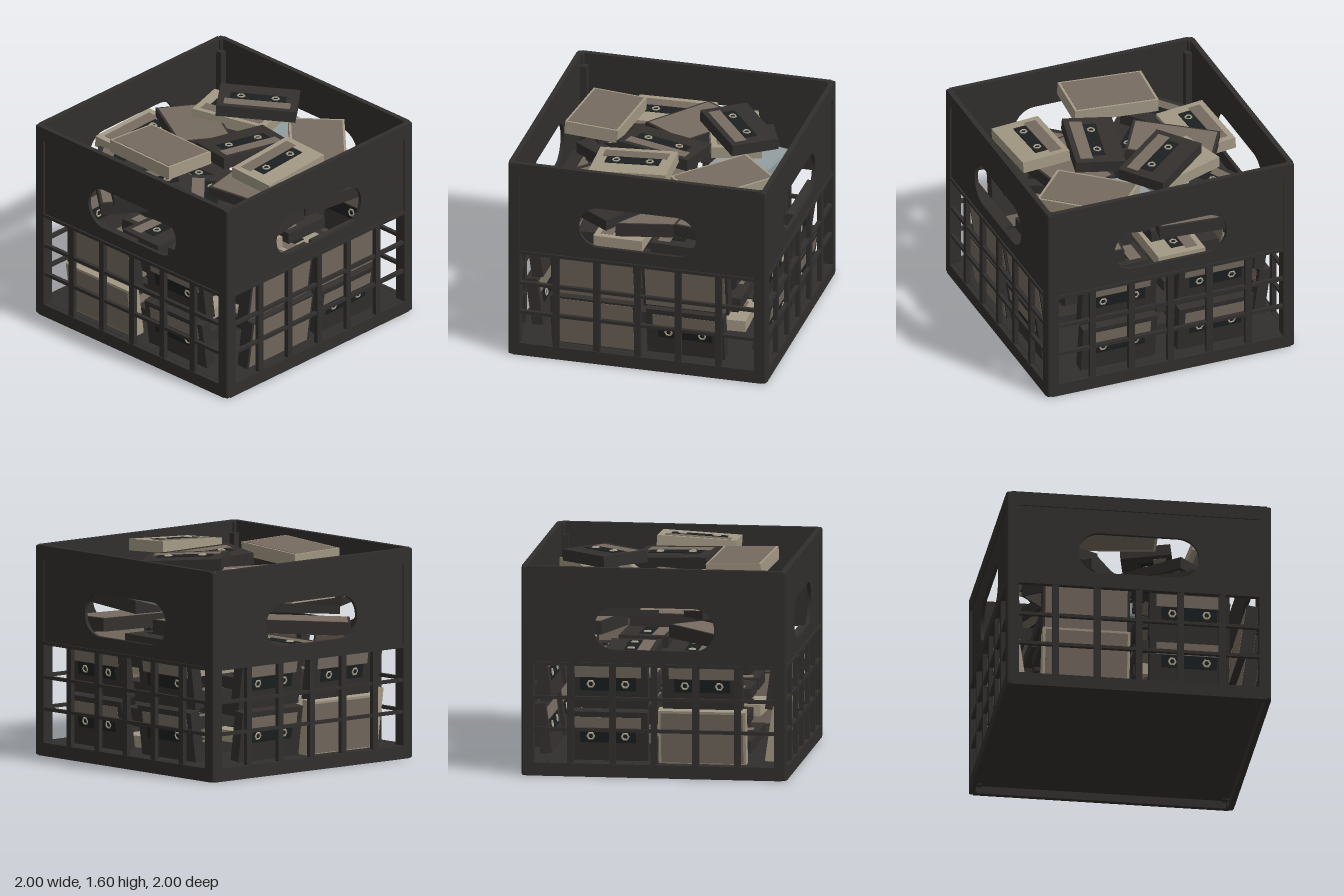
import * as THREE from 'three';
import { RoundedBoxGeometry } from 'three/addons/geometries/RoundedBoxGeometry.js';

const mat = (color) => new THREE.MeshStandardMaterial({ color });
const M = {
  crate: mat(0x312f2d), dark: mat(0x33302e), beige: mat(0xa29884), blue: mat(0x929da0),
  brown: mat(0x766b60), window: mat(0x1c2020), reel: mat(0xb0a894),
};
const rad = THREE.MathUtils.degToRad;

function add(parent, name, geo, material, x = 0, y = 0, z = 0) {
  const mesh = new THREE.Mesh(geo, material);
  mesh.name = name;
  mesh.position.set(x, y, z);
  parent.add(mesh);
  return mesh;
}
const box = (w, h, d) => new THREE.BoxGeometry(w, h, d);

// Rounded rectangle path; r = 0 gives square corners
function rect(C, x0, y0, x1, y1, r = 0) {
  const p = new C();
  p.moveTo(x0 + r, y0).lineTo(x1 - r, y0);
  if (r) p.absarc(x1 - r, y0 + r, r, -Math.PI / 2, 0);
  p.lineTo(x1, y1 - r);
  if (r) p.absarc(x1 - r, y1 - r, r, 0, Math.PI / 2);
  p.lineTo(x0 + r, y1);
  if (r) p.absarc(x0 + r, y1 - r, r, Math.PI / 2, Math.PI);
  p.lineTo(x0, y0 + r);
  if (r) p.absarc(x0 + r, y0 + r, r, Math.PI, Math.PI * 1.5);
  return p;
}
const extrude = (shape, depth) =>
  new THREE.ExtrudeGeometry(shape, { depth, bevelEnabled: false, curveSegments: 8 });

// One crate wall facing +z: frame, recessed panel with handle hole, grille
function wall() {
  const g = new THREE.Group();
  g.name = 'crateWall';
  const frame = rect(THREE.Shape, -0.965, 0, 0.965, 1.59);
  frame.holes.push(rect(THREE.Path, -0.91, 0.1, 0.91, 0.84), rect(THREE.Path, -0.91, 0.865, 0.91, 1.48));
  add(g, 'wallFrame', extrude(frame, 0.04), M.crate, 0, 0, 0.96);
  const panel = rect(THREE.Shape, -0.91, 0.865, 0.91, 1.48);
  panel.holes.push(rect(THREE.Path, -0.455, 0.965, 0.455, 1.29, 0.16));
  add(g, 'handlePanel', extrude(panel, 0.027), M.crate, 0, 0, 0.961);
  for (let i = -2; i <= 2; i++) add(g, 'verticalBar', box(0.05, 0.74, 0.034), M.crate, i * 0.315, 0.47, 0.978);
  for (const y of [0.355, 0.595]) add(g, 'horizontalBar', box(1.82, 0.025, 0.03), M.crate, 0, y, 0.978);
  return g;
}

// Cassette lying flat, label towards -z, same on both faces
function cassette(color) {
  const g = new THREE.Group();
  g.name = 'cassette';
  add(g, 'cassetteBody', box(0.6, 0.088, 0.38), M[color]);
  add(g, 'cassetteLabel', box(0.5, 0.092, 0.095), M.brown, 0, 0, -0.1);
  add(g, 'cassetteWindow', box(0.42, 0.096, 0.1), M.window);
  for (const x of [-0.13, 0.13]) for (const s of [-1, 1]) {
    add(g, 'reelHub', new THREE.TorusGeometry(0.026, 0.008, 4, 6), M.reel, x, s * 0.048, 0).rotation.x = Math.PI / 2;
  }
  return g;
}

// Closed case lying flat: coloured rim with brown covers
function tapeCase(color) {
  const g = new THREE.Group();
  g.name = 'tapeCase';
  add(g, 'caseRim', box(0.66, 0.1, 0.42), M[color]);
  add(g, 'caseCover', box(0.62, 0.106, 0.385), color === 'blue' ? M.blue : M.brown);
  return g;
}
const make = (kind, color) => (kind === 'T' ? cassette(color) : tapeCase(color));

export function createModel() {
  const model = new THREE.Group();

  // Crate
  const crate = new THREE.Group();
  crate.name = 'crate';
  model.add(crate);
  for (let i = 0; i < 4; i++) {
    const w = wall();
    w.rotation.y = i * Math.PI / 2;
    crate.add(w);
  }
  for (const sx of [-1, 1]) for (const sz of [-1, 1]) {
    add(crate, 'cornerPost', new RoundedBoxGeometry(0.06, 1.59, 0.06, 2, 0.015), M.crate, sx * 0.97, 0.795, sz * 0.97);
    add(crate, 'innerCornerRib', box(0.05, 1.45, 0.05), M.crate, sx * 0.935, 0.775, sz * 0.935);
  }
  add(crate, 'floor', box(1.915, 0.04, 1.915), M.crate, 0, 0.08, 0);

  // Tapes standing along the walls, leaning outward:
  // per wall (front, right, back, left): low/high at local -x, then low/high at local +x
  const standing = [
    [['C', 'dark'], ['C', 'dark'], ['T', 'dark'], ['C', 'dark']],
    [['T', 'dark'], ['T', 'dark'], ['T', 'dark'], ['T', 'dark']],
    [['T', 'dark'], ['T', 'dark'], ['C', 'beige'], ['T', 'dark']],
    [['C', 'beige'], ['C', 'dark'], ['T', 'dark'], ['T', 'dark']],
  ];
  standing.forEach((tapes, side) => {
    const row = new THREE.Group();
    row.name = 'standingTapes';
    row.rotation.y = side * Math.PI / 2;
    const offset = side % 2 ? 0.39 : 0.355;
    tapes.forEach(([kind, color], i) => {
      const t = make(kind, color);
      t.position.set(i < 2 ? -offset : offset, i % 2 ? 0.7 : 0.305, 0.88);
      t.rotation.x = rad(98);
      row.add(t);
    });
    model.add(row);
  });

  // Flat stacks filling the middle, turned crosswise on every other layer
  const stacks = new THREE.Group();
  stacks.name = 'stackedTapes';
  model.add(stacks);
  for (let layer = 0; layer < 8; layer++) for (let k = 0; k < 4; k++) {
    const sx = k % 2 ? 1 : -1, sz = k < 2 ? 1 : -1, cross = layer % 2;
    const t = make('T', (layer + k * 2) % 5 === 2 ? 'beige' : 'dark');
    const slip = 0.02 * Math.sin(layer * 2.3 + k * 1.7);
    t.position.set(sx * (cross ? 0.23 : 0.35) + slip, 0.15 + layer * 0.1, sz * (cross ? 0.35 : 0.23) - slip);
    t.rotation.y = (cross * Math.PI) / 2 + slip * 2;
    stacks.add(t);
  }

  // Loose pile: kind, colour, x, height of centre, z, turn, tilt about x, tilt about z
  const pile = [
    ['C', 'dark', -0.42, 1.0, -0.45, -40, 2, 2],
    ['C', 'dark', 0.05, 0.99, 0.45, 8, -2, 2],
    ['C', 'dark', 0.55, 1.03, 0.5, -8, 3, 0],
    ['T', 'dark', -0.45, 1.08, 0.47, -32, 3, -3],
    ['C', 'dark', 0.58, 1.07, -0.38, 80, 0, 3],
    ['T', 'dark', -0.48, 1.13, -0.3, -38, 3, 2],
    ['T', 'dark', -0.5, 1.24, -0.59, 34, -3, 2],
    ['T', 'dark', -0.43, 1.2, 0.28, 43, 2, 3],
    ['C', 'dark', -0.08, 1.25, 0.4, 13, 3, -2],
    ['T', 'dark', 0.37, 1.22, -0.5, 22, -2, 3],
    ['C', 'dark', 0.54, 1.2, 0.4, 82, 0, -2],
    ['C', 'blue', 0.58, 1.3, 0.02, 78, 3, 0],
    ['T', 'beige', -0.18, 1.29, -0.69, 2, 4, 0],
    ['C', 'dark', 0.08, 1.37, -0.39, 59, 2, -4],
    ['C', 'beige', 0.52, 1.37, 0.47, 46, 3, 2],
    ['T', 'beige', 0.42, 1.42, -0.25, 108, 2, 2],
    ['T', 'dark', -0.01, 1.47, 0.21, 168, 4, 3],
    ['C', 'beige', -0.55, 1.51, -0.13, 86, 2, -2],
    ['T', 'beige', -0.115, 1.52, 0.675, 1, 3, 3],
    ['T', 'dark', 0.49, 1.53, -0.12, 129, 2, 3],
  ];
  const loose = new THREE.Group();
  loose.name = 'looseTapes';
  model.add(loose);
  for (const [kind, color, x, y, z, turn, tx, tz] of pile) {
    const t = make(kind, color);
    t.position.set(x, y, z);
    t.rotation.set(rad(tx), rad(turn), rad(tz), 'YXZ');
    loose.add(t);
  }
  return model;
}
